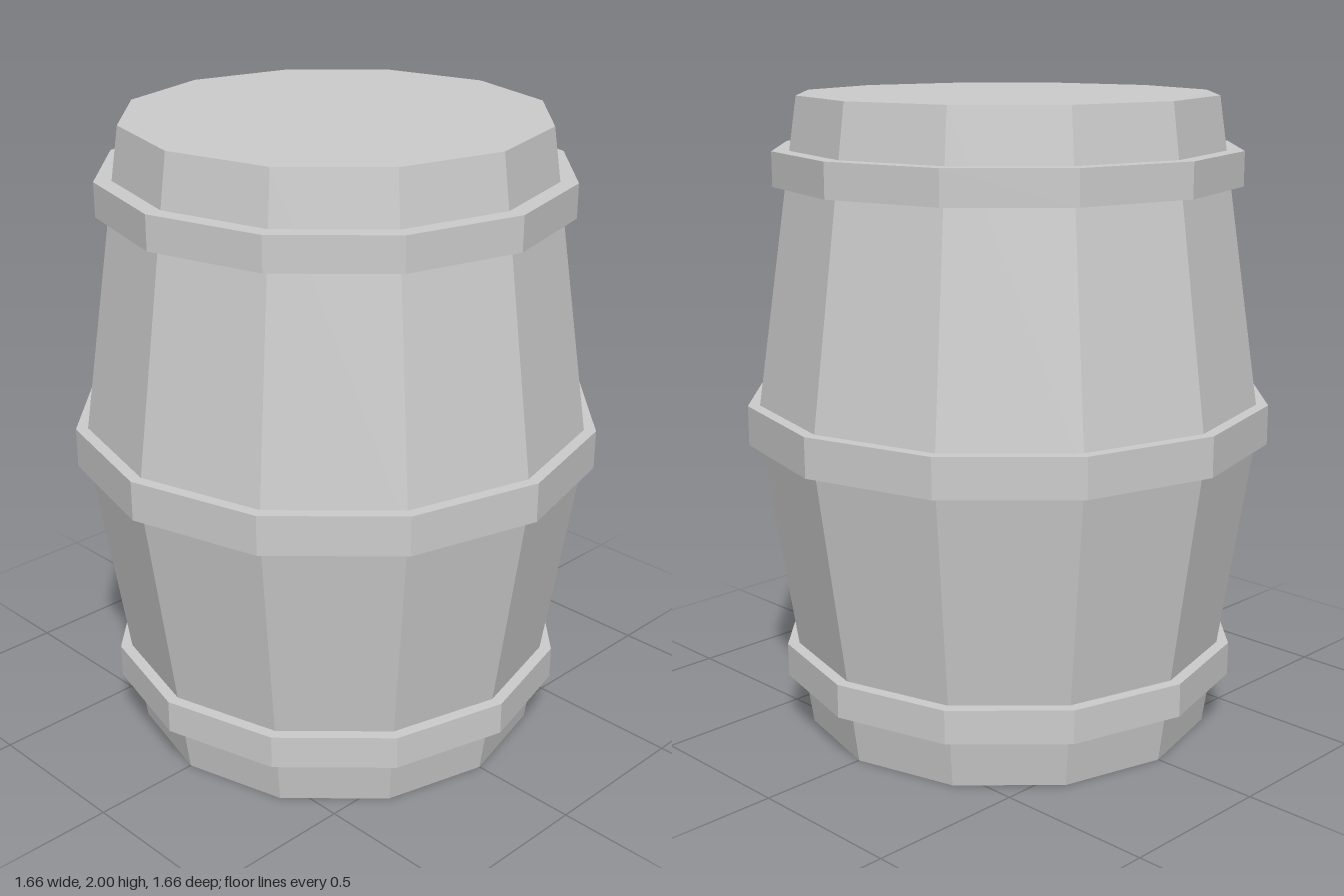
import * as THREE from 'three';

const SIDES = 12;
const END_RADIUS = 0.652;
const MID_RADIUS = 0.8;

// Radius of the staves at height y: two straight tapers meeting at the middle
const staveRadius = (y) => MID_RADIUS - (MID_RADIUS - END_RADIUS) * Math.abs(y - 1);

export function createModel() {
  const group = new THREE.Group();
  group.name = 'barrel';

  const grey = new THREE.MeshStandardMaterial({ color: 0xcccccc, flatShading: true });
  grey.name = 'grey';

  // Turns a profile, listed from bottom to top, into a twelve-sided part
  const turn = (name, profile) => {
    const points = profile.map(([r, y]) => new THREE.Vector2(r, y));
    const mesh = new THREE.Mesh(new THREE.LatheGeometry(points, SIDES), grey);
    mesh.name = name;
    group.add(mesh);
  };

  // Closed body with flat lid and base
  turn('body', [[0, 0], [END_RADIUS, 0], [MID_RADIUS, 1], [END_RADIUS, 2], [0, 2]]);

  // Hoops, each running from the staves out to its rim and back
  const hoops = [
    ['lowerHoop', 0.168, 0.274, 0.73],
    ['middleHoop', 0.94, 1.064, 0.828],
    ['upperHoop', 1.732, 1.838, 0.73],
  ];
  for (const [name, y0, y1, r] of hoops) {
    turn(name, [[staveRadius(y0) - 0.005, y0], [r, y0], [r, y1], [staveRadius(y1) - 0.005, y1]]);
  }

  return group;
}
